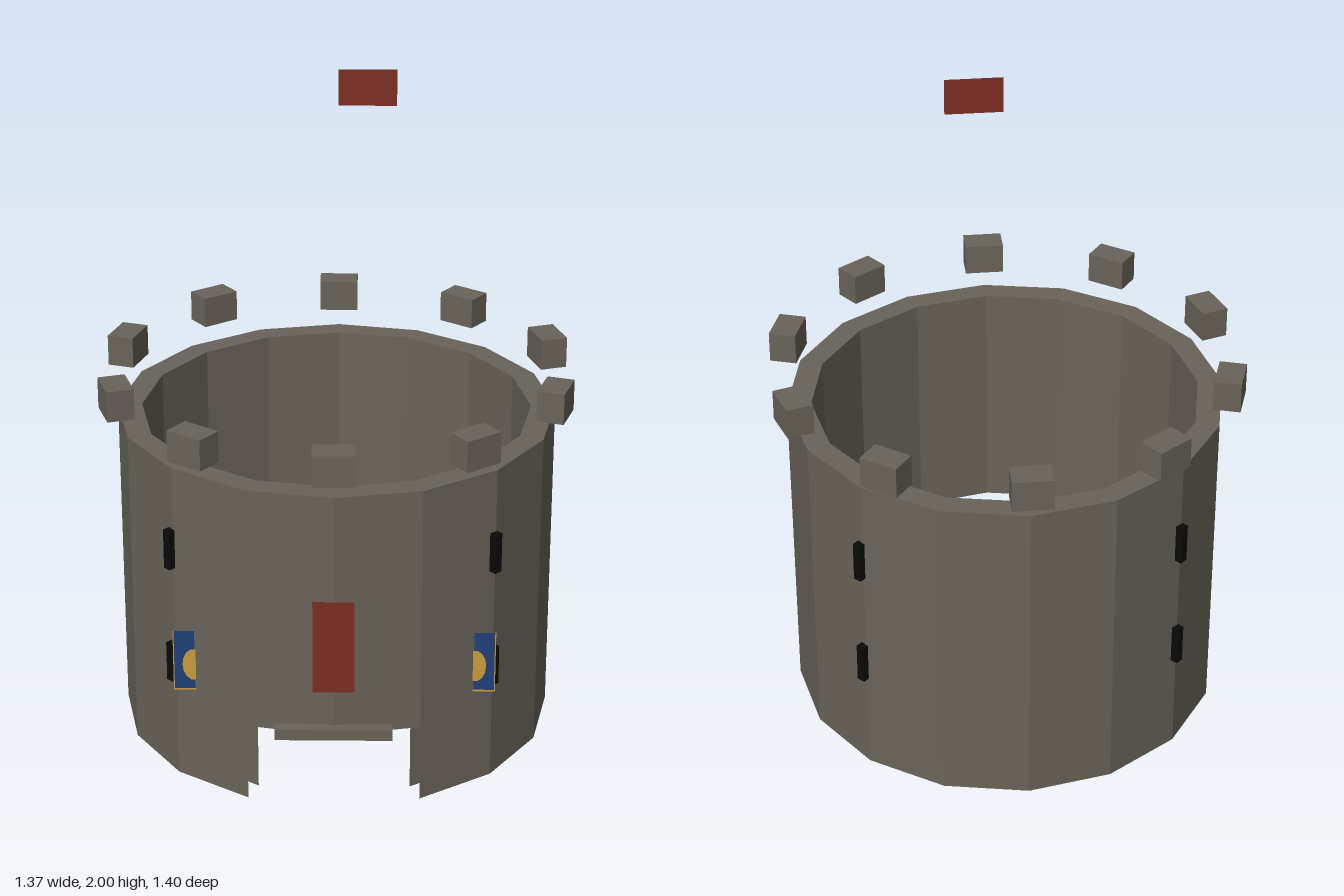
import * as THREE from 'three';

export function createModel() {
  const model = new THREE.Group();
  model.name = 'roundTower';

  const material = (name, color) => {
    const m = new THREE.MeshStandardMaterial({ color, side: THREE.DoubleSide, flatShading: true });
    m.name = name;
    return m;
  };
  const stone = material('stone', 0x69645a);
  const black = material('slit black', 0x0a0a0a);
  const red = material('banner red', 0x7c2d23);
  const blue = material('pennant blue', 0x1f3f78);
  const gold = material('pennant gold', 0xc89d3c);

  const add = (name, geometry, mat, x = 0, y = 0, z = 0, turn = 0, parent = model) => {
    const mesh = new THREE.Mesh(geometry, mat);
    mesh.name = name;
    mesh.position.set(x, y, z);
    mesh.rotation.y = turn;
    parent.add(mesh);
    return mesh;
  };

  const OUTER = 0.644, INNER = 0.573, SIDES = 16;
  const TOP = 0.98, DOOR = 0.237;
  const step = (Math.PI * 2) / SIDES;

  // Sixteen-sided wall: two open shells, with two front sides left out below the door top
  for (const [label, r] of [['outer', OUTER], ['inner', INNER]]) {
    add(label + 'WallUpper', new THREE.CylinderGeometry(r, r, TOP - DOOR, SIDES, 1, true),
      stone, 0, (TOP + DOOR) / 2, 0);
    add(label + 'WallLower',
      new THREE.CylinderGeometry(r, r, DOOR, SIDES - 2, 1, true, step, step * (SIDES - 2)),
      stone, 0, DOOR / 2, 0);
  }

  // Wall walk closing the top between the shells
  const walk = new THREE.RingGeometry(INNER, OUTER, SIDES, 1);
  walk.rotateX(-Math.PI / 2);
  add('wallTop', walk, stone, 0, TOP, 0);

  // Lintel above the doorway
  add('lintel', new THREE.BoxGeometry(0.333, 0.033, 0.036), stone, 0, 0.253, 0.654);

  // Ring of ten raised battlement blocks
  const block = new THREE.BoxGeometry(0.117, 0.093, 0.08);
  for (let i = 0; i < 10; i++) {
    const a = (i * Math.PI) / 5;
    add('battlement', block, stone, Math.sin(a) * 0.661, 1.084, Math.cos(a) * 0.661, a);
  }

  // Arrow slits, two rows of four
  const slit = new THREE.BoxGeometry(0.025, 0.12, 0.023);
  for (let i = 0; i < 4; i++) {
    const a = Math.PI / 4 + (i * Math.PI) / 2 - 0.012;
    for (const y of [0.37, 0.73]) {
      add('arrowSlit', slit, black, Math.sin(a) * 0.652, y, Math.cos(a) * 0.652, a);
    }
  }

  // Red banner over the door and the flag high above
  add('doorBanner', new THREE.PlaneGeometry(0.117, 0.285), red, 0, 0.527, 0.66);
  add('flag', new THREE.PlaneGeometry(0.165, 0.105), red, 0.088, 1.9475, 0);

  // Blue side pennants with a gold emblem and trim
  const emblem = new THREE.CircleGeometry(1, 14);
  emblem.scale(0.031, 0.05, 1);
  for (const side of [-1, 1]) {
    const pennant = new THREE.Group();
    pennant.name = side > 0 ? 'leftPennant' : 'rightPennant';
    pennant.position.set(side * 0.404, 0.392, 0.4925);
    model.add(pennant);
    add('cloth', new THREE.PlaneGeometry(0.115, 0.19), blue, 0, 0, 0, 0, pennant);
    for (const z of [-0.002, 0.002]) {
      add('emblem', emblem, gold, 0, -0.012, z, 0, pennant);
      add('bottomTrim', new THREE.PlaneGeometry(0.115, 0.006), gold, 0, -0.092, z, 0, pennant);
      add('edgeTrim', new THREE.PlaneGeometry(0.003, 0.19), gold, side * 0.056, 0, z, 0, pennant);
    }
  }

  return model;
}
